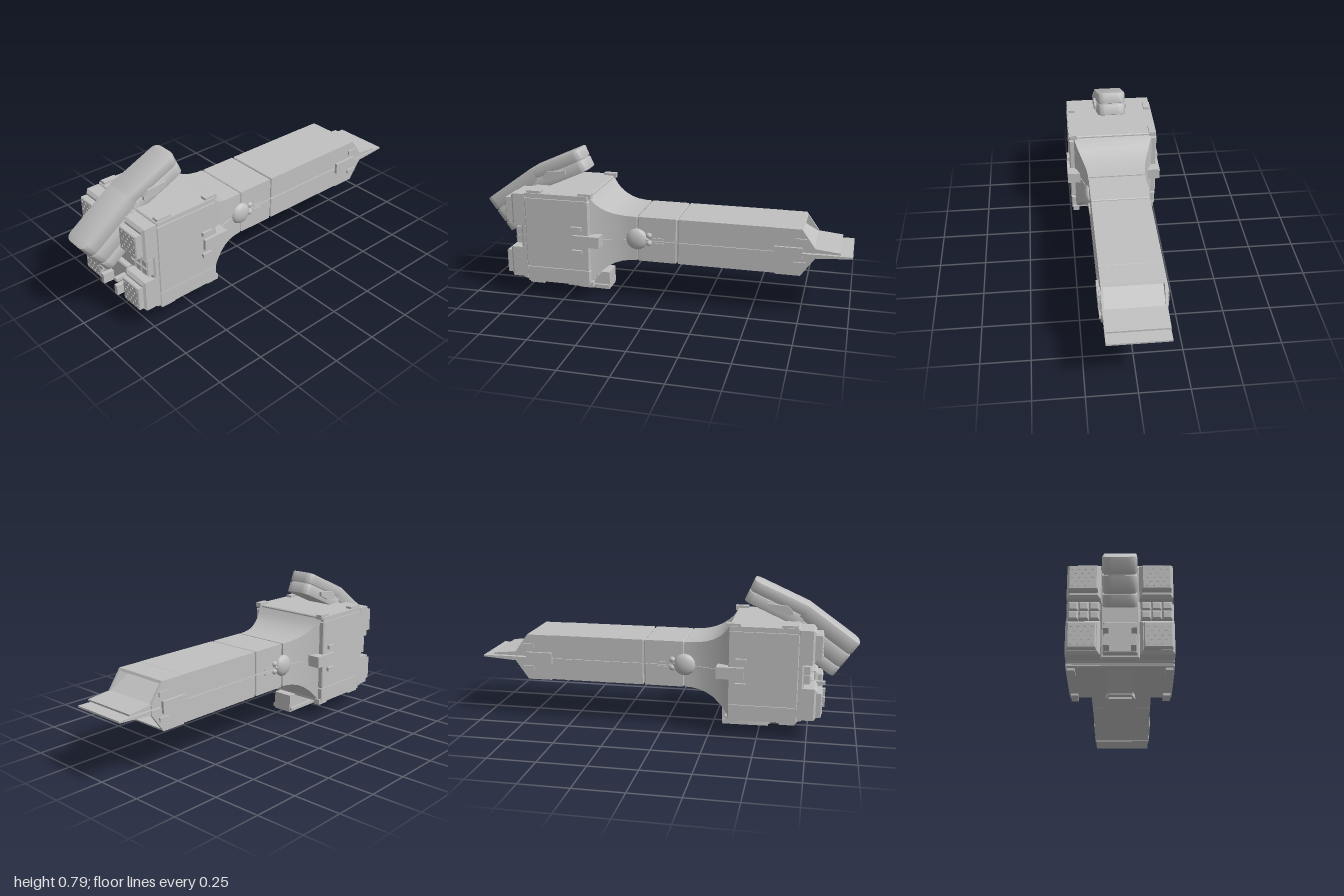
import * as THREE from 'three';
import { toCreasedNormals } from 'three/addons/utils/BufferGeometryUtils.js';

export function createModel() {
  const root = new THREE.Group();
  const hull = new THREE.MeshStandardMaterial({ color: 0xc0c0c0 });
  hull.name = 'hull grey';

  const add = (name, geo, parent = root) => {
    const m = new THREE.Mesh(geo, hull);
    m.name = name;
    parent.add(m);
    return m;
  };
  // Box given by its limits
  const box = (name, x0, x1, y0, y1, z0, z1) => {
    const g = new THREE.BoxGeometry(Math.abs(x1 - x0), y1 - y0, Math.abs(z1 - z0));
    return add(name, g.translate((x0 + x1) / 2, (y0 + y1) / 2, (z0 + z1) / 2));
  };
  // Block with chamfered edges
  const chamferBox = (name, x0, x1, y0, y1, z0, z1, b = 0.008) => {
    const s = new THREE.Shape([[x0 + b, y0 + b], [x1 - b, y0 + b], [x1 - b, y1 - b], [x0 + b, y1 - b]]
      .map(p => new THREE.Vector2(...p)));
    const g = new THREE.ExtrudeGeometry(s, { depth: z1 - z0 - 2 * b, bevelSize: b, bevelThickness: b, bevelSegments: 1 });
    return add(name, g.translate(0, 0, z0 + b));
  };
  // Outline in (z, y) extruded across x
  const across = (name, pts, x0, x1) => {
    const g = new THREE.ExtrudeGeometry(new THREE.Shape(pts.map(p => new THREE.Vector2(...p))),
      { depth: x1 - x0, bevelEnabled: false });
    return add(name, g.rotateY(-Math.PI / 2).translate(x1, 0, 0));
  };
  // Loft of rectangular sections [z, halfWidth, bottom, top], ordered front to back
  const loft = (name, rings) => {
    const pos = [], idx = [];
    for (const [z, w, b, t] of rings) pos.push(-w, b, z, w, b, z, w, t, z, -w, t, z);
    for (let i = 0; i < rings.length - 1; i++) {
      for (let k = 0; k < 4; k++) {
        const a = i * 4 + k, c = i * 4 + (k + 1) % 4;
        idx.push(a, a + 4, c, c, a + 4, c + 4);
      }
    }
    const e = (rings.length - 1) * 4;
    idx.push(0, 1, 2, 0, 2, 3, e, e + 2, e + 1, e, e + 3, e + 2);
    const g = new THREE.BufferGeometry();
    g.setAttribute('position', new THREE.Float32BufferAttribute(pos, 3));
    g.setIndex(idx);
    return add(name, toCreasedNormals(g, 0.6));
  };

  // Main block: core and stacked plates with narrow seams
  box('bodyCore', -0.238, 0.238, 0.1, 0.575, 0.355, 0.705);
  chamferBox('bodyLowerPlate', -0.245, 0.245, 0.092, 0.173, 0.347, 0.7, 0.005);
  chamferBox('bodyMiddlePlate', -0.247, 0.247, 0.178, 0.556, 0.347, 0.7, 0.005);
  chamferBox('bodyUpperPlate', -0.245, 0.245, 0.561, 0.583, 0.347, 0.7, 0.005);
  chamferBox('frontFrame', -0.243, 0.243, 0.105, 0.575, 0.69, 0.728, 0.01);

  // Flared neck and tail, split into halves by a mid seam
  const profile = [[0.352, 0.222, 0.1, 0.578], [0.325, 0.208, 0.135, 0.54], [0.3, 0.197, 0.162, 0.517],
    [0.265, 0.184, 0.19, 0.496], [0.23, 0.173, 0.208, 0.482], [0.19, 0.163, 0.22, 0.473], [0.15, 0.158, 0.226, 0.469], [0.112, 0.156, 0.228, 0.468]];
  loft('neckUpper', profile.map(([z, w, , t]) => [z, w, 0.348, t]));
  loft('neckLower', profile.map(([z, w, b]) => [z, w, b, 0.341]));
  loft('neckCore', profile.map(([z, w]) => [z, w - 0.006, 0.3, 0.4]));
  box('tailCore', -0.148, 0.148, 0.235, 0.46, -0.61, 0.13);
  for (const [name, z0, z1] of [['collar', -0.102, 0.107], ['tail', -0.62, -0.108]]) {
    chamferBox(name + 'Upper', -0.155, 0.155, 0.348, 0.469, z0, z1, 0.004);
    chamferBox(name + 'Lower', -0.155, 0.155, 0.226, 0.341, z0, z1, 0.004);
  }

  // Open tail nozzle: two hollow jaws with inner ramps and thin lips
  for (const [name, mid, s, lip] of [['Upper', 0.348, 1, -0.94], ['Lower', 0.341, -1, -1]]) {
    const y = d => mid + s * d;
    const flip = pts => (s > 0 ? pts : pts.reverse());
    const side = () => flip([[-0.615, y(0)], [-0.615, y(0.12)], [-0.745, y(0.12)], [-0.815, y(0.022)], [-0.815, y(0)]]);
    across('nozzleSideRight' + name, side(), -0.155, -0.143);
    across('nozzleSideLeft' + name, side(), 0.143, 0.155);
    across('nozzleSkin' + name, flip([[-0.615, y(0.108)], [-0.615, y(0.12)], [-0.745, y(0.12)], [-0.752, y(0.108)]]), -0.15, 0.15);
    across('nozzleRamp' + name, flip([[-0.615, y(0)], [-0.615, y(0.11)], [-0.66, y(0.105)], [-0.81, y(0.022)], [lip, y(0.009)], [lip, y(0)]]), -0.152, 0.152);
  }

  // Details repeated on both sides
  for (const s of [-1, 1]) {
    const label = s > 0 ? 'left' : 'right';
    const sideBox = (name, x0, x1, ...r) => box(label + name, s * x0, s * x1, ...r);

    sideBox('BodyClamp', 0.17, 0.263, 0.312, 0.373, 0.288, 0.43);
    for (const y of [0.27, 0.398]) sideBox('BodyClip', 0.235, 0.261, y, y + 0.021, 0.385, 0.44);
    sideBox('TailClamp', 0.15, 0.168, 0.312, 0.373, -0.752, -0.608);
    for (const y of [0.273, 0.398]) sideBox('TailClip', 0.15, 0.164, y, y + 0.022, -0.77, -0.71);
    for (const y of [0.326, 0.352]) sideBox('SensorBar', 0.15, 0.161, y, y + 0.007, -0.035, 0.022);

    const ball = (name, y, z, r, depth) => {
      const m = add(label + name, new THREE.SphereGeometry(r, 24, 16));
      m.position.set(s * 0.154, y, z);
      m.scale.x = depth / r;
    };
    ball('SensorDome', 0.347, 0.112, 0.058, 0.03);
    ball('SmallSensor', 0.37, 0.046, 0.016, 0.014);
    ball('SmallSensor', 0.328, 0.046, 0.016, 0.014);
    ball('SmallSensor', 0.348, 0.058, 0.012, 0.012);

    // Corner brackets above and below the block
    for (const z of [[0.335, 0.405], [0.61, 0.69]]) {
      sideBox('TopBracket', 0.203, 0.238, 0.57, 0.595, ...z);
      sideBox('BottomBracket', 0.203, 0.238, 0.08, 0.11, ...z);
    }

    // Front pods with perforated face plates
    const lo = (a, b) => (s > 0 ? [a, b] : [-b, -a]);
    for (const [y0, y1, p0, p1, xa, z, zf] of [
      [0.4, 0.575, 0.425, 0.55, 0.1, 0.78, 0.815], [0.112, 0.278, 0.128, 0.255, 0.105, 0.795, 0.82]]) {
      chamferBox(label + 'Pod', ...lo(0.088, 0.243), y0, y1, 0.69, z, 0.014);
      chamferBox(label + 'PodFace', ...lo(xa, 0.233), p0, p1, z - 0.02, zf, 0.005);
      for (let row = 0; row < 5; row++) {
        const n = row % 2 ? 3 : 4;
        for (let i = 0; i < n; i++) {
          const g = new THREE.CylinderGeometry(0.0065, 0.0065, 0.004, 12).rotateX(Math.PI / 2);
          g.translate(s * (0.17 + (i - (n - 1) / 2) * 0.031), (p0 + p1) / 2 + (row - 2) * 0.0215, zf + 0.001);
          add(label + 'PodStud', g);
        }
      }
    }

    // Window tiles between the pods
    for (let i = 0; i < 3; i++) for (const y of [0.301, 0.347]) {
      const x = 0.094 + i * 0.048;
      chamferBox(label + 'WindowTile', ...lo(x, x + 0.046), y, y + 0.044, 0.7, 0.762, 0.007);
    }

    // Clips on the front hatch
    sideBox('HatchClip', 0.05, 0.075, 0.215, 0.232, 0.75, 0.836);
    sideBox('HatchClip', 0.048, 0.072, 0.132, 0.186, 0.75, 0.836);
  }
  chamferBox('frontHatch', -0.076, 0.076, 0.125, 0.278, 0.7, 0.775, 0.006);
  chamferBox('hatchSurround', -0.09, 0.09, 0.11, 0.4, 0.7, 0.745, 0.008);

  // Keel fin with a flared foot
  across('keelFin', [[0.69, 0.1], [0.54, 0.012], [0.3, 0.008], [0.3, 0.1]], -0.055, 0.055);
  loft('keelFoot', [[0.56, 0.05, 0.018, 0.04], [0.53, 0.068, 0.008, 0.028], [0.302, 0.068, 0.008, 0.028]]);
  loft('keelSole', [[0.545, 0.054, 0.002, 0.02], [0.302, 0.056, 0, 0.02]]);

  // Bent bridge arm: layered slabs, rounded at the far end
  const slab = (parent, name, len, top, thick, w = 0.077) => {
    const b = 0.005, h = w - b, r = 0.038, L = len - b;
    const s = new THREE.Shape();
    s.moveTo(-h, 0).lineTo(h, 0).lineTo(h, L - r).quadraticCurveTo(h, L, h - r, L);
    s.lineTo(r - h, L).quadraticCurveTo(-h, L, -h, L - r).lineTo(-h, 0);
    const g = new THREE.ExtrudeGeometry(s, { depth: thick - 2 * b, bevelSize: b, bevelThickness: b, bevelSegments: 2, curveSegments: 8 });
    return add(name, toCreasedNormals(g.rotateX(Math.PI / 2).translate(0, -top - b, 0), 0.5), parent);
  };
  const bend = (name, angle) => {
    const g = new THREE.Group();
    g.name = name;
    g.position.set(0, 0.665, 0.735);
    g.rotation.x = angle;
    root.add(g);
    return g;
  };
  const fore = bend('bridgeFore', 0.622);
  for (const [t, d] of [[0, 0.076], [0.081, 0.078], [0.164, 0.057]]) slab(fore, 'bridgeForeLayer', 0.326, t, d);
  slab(fore, 'bridgeForeCore', 0.319, 0.01, 0.2, 0.07);
  const aft = bend('bridgeAft', 0.42);
  const turned = new THREE.Group();
  turned.name = 'bridgeAftLayers';
  turned.rotation.y = Math.PI;
  aft.add(turned);
  for (const [t, d] of [[0, 0.058], [0.063, 0.06]]) slab(turned, 'bridgeAftLayer', 0.307, t, d);
  slab(turned, 'bridgeAftCore', 0.3, 0.01, 0.105, 0.07);
  across('bridgePads', [[0.655, 0.615], [0.655, 0.635], [0.63, 0.662], [0.525, 0.672], [0.525, 0.65], [0.59, 0.618]].reverse(), -0.09, 0.09);

  return root;
}
